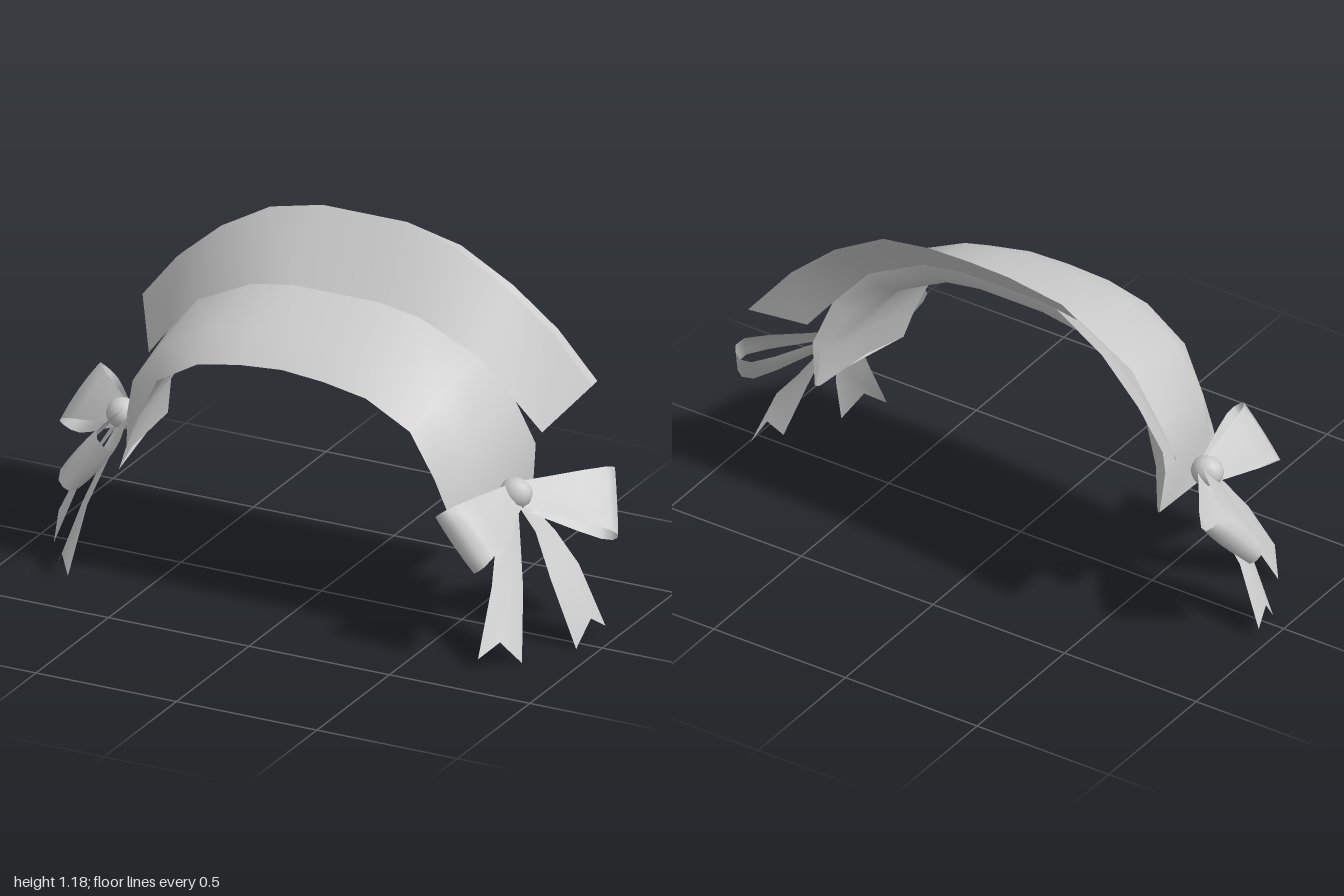
import * as THREE from 'three';
import { toCreasedNormals } from 'three/addons/utils/BufferGeometryUtils.js';

const material = new THREE.MeshStandardMaterial({ color: 0xcccccc, side: THREE.DoubleSide });

// Surface through rows of [x, y, z] points
function skin(name, rows, closed = false, crease = 1.1) {
  const n = rows[0].length, index = [];
  for (let i = 0; i < rows.length - 1; i++) {
    for (let j = 0; j < (closed ? n : n - 1); j++) {
      const k = (j + 1) % n;
      const a = i * n + j, b = i * n + k, c = a + n, d = b + n;
      index.push(a, c, b, b, c, d);
    }
  }
  const geo = new THREE.BufferGeometry();
  geo.setAttribute('position', new THREE.Float32BufferAttribute(rows.flat(2), 3));
  geo.setIndex(index);
  const mesh = new THREE.Mesh(toCreasedNormals(geo, crease), material);
  mesh.name = name;
  return mesh;
}

// Half a rail, from the middle to the left end, continued to the right
const mirrored = (half) => [
  ...half.slice(1).reverse().map(([x, y, z]) => [-x, y, z]),
  ...half,
];

// Rails of the band, crown to left end
const front = mirrored([[0, .865, .275], [.15, .855, .28], [.3, .825, .275], [.45, .735, .262], [.53, .58, .247], [.57, .48, .24], [.6, .39, .235]]);
const middle = mirrored([[0, .935, .15], [.15, .93, .15], [.31, .9, .15], [.49, .81, .15], [.6, .66, .14], [.635, .53, .11], [.645, .4, .08]]);
const rearHalf = [[0, .985, -.1], [.15, .985, -.1], [.3, .96, -.1], [.5, .86, -.115], [.62, .72, -.14], [.67, .57, -.18], [.655, .42, -.19]];
const rear = mirrored(rearHalf);

function makeBand() {
  const inward = ([x, y, z], f, dz) => [x * f, .4 + (y - .4) * f, z + dz];
  const rows = front.map((f, i) => {
    // padding is thick over the head and thins out at the ends
    const depth = Math.min(1, .15 + .45 * Math.min(i, front.length - 1 - i));
    return [f, middle[i], rear[i],
      inward(rear[i], 1 - .08 * depth, .01 * depth),
      inward(rear[i], 1 - .15 * depth, .06 * depth),
      inward(middle[i], 1 - .1 * depth, -.02 * depth)];
  });
  // close both ends with a collapsed row
  const cap = (row) => {
    const c = [0, 1, 2].map((k) => row.reduce((s, p) => s + p[k], 0) / row.length);
    return row.map(() => c);
  };
  return skin('band', [cap(rows[0]), ...rows, cap(rows[rows.length - 1])], true);
}

// Flared frill layer along the rear of the band
function makeFrill(name, waves) {
  const base = mirrored([...rearHalf.slice(0, 5), [.7, .62, -.165]]);
  const outline = [[0, 1.185], [.15, 1.185], [.34, 1.14], [.52, 1.035], [.67, .905], [.8, .745]];
  const rim = mirrored(outline.map(([x, y], i) => [x, y, waves[i]]));
  return skin(name, base.map((p, i) => [p, rim[i]]), false, .6);
}

// Ribbon loop: teardrop path of [reach, thickness], widening away from the knot
function makeLoop(name, side, knot, end, halfWidth, halfThick) {
  const upper = [[0, .2], [.3, .5], [.65, .9], [.88, 1], [.98, .6], [1, 0]];
  const path = [...upper, ...upper.slice(0, -1).reverse().map(([s, t]) => [s, -t])];
  const rows = path.map(([s, t]) => [-1, -.5, 0, .5, 1].map((w) => {
    const p = [0, 1, 2].map((k) => knot[k] + (end[k] - knot[k]) * s
      + halfWidth[k] * w * (.35 + .65 * s) + halfThick[k] * t * (1 - .15 * w * w));
    return [p[0] * side, p[1], p[2]];
  }));
  return skin(name, side > 0 ? rows : rows.reverse());
}

// Ribbon tail between two edges, with a notch cut into its end
function makeTail(name, side, edgeA, edgeB) {
  const rows = edgeA.map((a, i) => {
    const b = edgeB[i];
    const m = a.map((v, k) => (v + b[k]) / 2);
    if (i === edgeA.length - 1) m[1] += .065;
    else m[0] += .012;
    return [a, m, b].map(([x, y, z]) => [x * side, y, z]);
  });
  return skin(name, side > 0 ? rows : rows.reverse());
}

function makeBow(side) {
  const bow = new THREE.Group();
  bow.name = side > 0 ? 'leftBow' : 'rightBow';
  const knotPoint = [.7, .475, .015];
  const knot = new THREE.Mesh(new THREE.SphereGeometry(1, 12, 8), material);
  knot.name = 'knot';
  knot.scale.set(.055, .052, .048);
  knot.position.set(.7 * side, .48, .015);
  bow.add(
    knot,
    makeLoop('frontLoop', side, knotPoint, [.67, .43, .35], [.07, -.085, 0], [.038, .03, 0]),
    makeLoop('rearLoop', side, knotPoint, [.945, .41, -.2], [.04, -.085, .066], [-.029, -.032, -.02]),
    makeTail('frontTail', side,
      [[.67, .46, .06], [.69, .37, .13], [.72, .24, .22], [.73, .035, .335]],
      [[.71, .45, .02], [.74, .33, .06], [.78, .21, .12], [.81, .08, .18], ].slice(0, 3).concat([[.83, 0, .225]])),
    makeTail('rearTail', side,
      [[.7, .46, .025], [.77, .36, .015], [.84, .22, .045], [.93, 0, .045]],
      [[.72, .46, -.01], [.8, .34, -.065], [.88, .24, -.07], [.965, .035, -.09]]),
  );
  return bow;
}

export function createModel() {
  const model = new THREE.Group();
  model.name = 'ribbonHeadband';
  model.add(
    makeBand(),
    makeFrill('frontFrill', [-.29, -.295, -.275, -.28, -.3, -.315]),
    makeFrill('rearFrill', [-.3, -.3, -.305, -.315, -.335, -.353]),
    makeBow(1),
    makeBow(-1),
  );
  return model;
}
